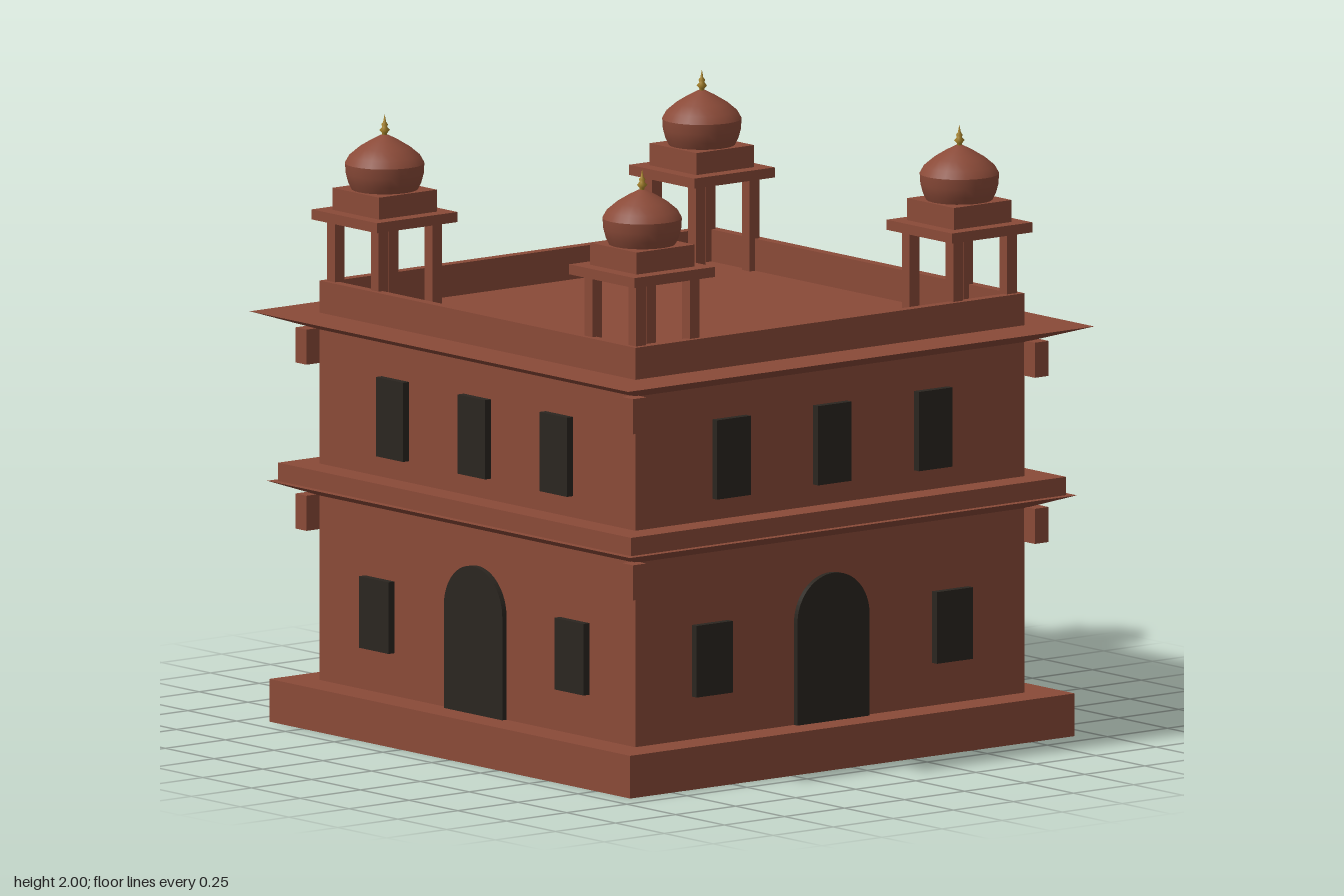
import * as THREE from 'three';

const stone = new THREE.MeshStandardMaterial({ color: 0x8a4a38, side: THREE.DoubleSide });
const stoneFlat = new THREE.MeshStandardMaterial({ color: 0x8a4a38, flatShading: true });
const dark = new THREE.MeshStandardMaterial({ color: 0x2b2620 });
const gold = new THREE.MeshStandardMaterial({ color: 0xa8842c });

function add(parent, name, geometry, material, x = 0, y = 0, z = 0) {
  const mesh = new THREE.Mesh(geometry, material);
  mesh.name = name;
  mesh.position.set(x, y, z);
  parent.add(mesh);
  return mesh;
}

// Box given by its width, depth and bottom/top heights
function block(parent, name, w, d, y0, y1, x = 0, z = 0, material = stone) {
  return add(parent, name, new THREE.BoxGeometry(w, y1 - y0, d), material, x, (y0 + y1) / 2, z);
}

// Square eave that flares out towards its flat top
function eave(parent, name, bottomHalf, topHalf, y0, y1) {
  const g = new THREE.CylinderGeometry(topHalf * Math.SQRT2, bottomHalf * Math.SQRT2, y1 - y0, 4);
  g.rotateY(Math.PI / 4);
  return add(parent, name, g, stoneFlat, 0, (y0 + y1) / 2, 0);
}

function lathe(points) {
  return new THREE.LatheGeometry(points.map(([r, y]) => new THREE.Vector2(r, y)), 24);
}

// Door, windows and parapet of one side
function createSide() {
  const side = new THREE.Group();
  side.name = 'facade';

  const arch = new THREE.Shape();
  arch.moveTo(-0.15, 0.14);
  arch.lineTo(0.15, 0.14);
  arch.lineTo(0.15, 0.475);
  arch.absarc(0, 0.475, 0.15, 0, Math.PI, false);
  arch.closePath();
  const door = new THREE.ExtrudeGeometry(arch, { depth: 0.03, bevelEnabled: false, curveSegments: 16 });
  add(side, 'archedDoor', door, dark, 0, 0, 0.798);

  for (const x of [-0.5, 0.5]) block(side, 'lowerWindow', 0.15, 0.04, 0.28, 0.515, x, 0.815, dark);
  for (const x of [-0.42, 0, 0.42]) block(side, 'upperWindow', 0.14, 0.04, 0.92, 1.18, x, 0.815, dark);

  block(side, 'parapet', 1.585, 0.035, 1.345, 1.45, -0.0175, 0.7925);
  return side;
}

// Domed pavilion on four posts
function createPavilion() {
  const p = new THREE.Group();
  p.name = 'roofPavilion';
  for (const x of [-0.112, 0.112])
    for (const z of [-0.112, 0.112]) block(p, 'post', 0.04, 0.04, 1.345, 1.655, x, z);
  block(p, 'pavilionSlab', 0.335, 0.335, 1.65, 1.683);
  block(p, 'domeBase', 0.24, 0.24, 1.683, 1.755);
  add(p, 'domeBowl', lathe([[0.105, 1.75], [0.119, 1.778], [0.127, 1.808], [0.129, 1.84]]), stone);
  add(p, 'domeCap', lathe([[0.129, 1.84], [0.115, 1.865], [0.083, 1.892], [0.045, 1.915], [0.012, 1.932], [0, 1.934]]), stone);
  add(p, 'finial', lathe([[0.008, 1.925], [0.008, 1.938], [0.017, 1.948], [0.008, 1.958],
    [0.011, 1.966], [0.005, 1.974], [0, 2]]), gold);
  return p;
}

export function createModel() {
  const model = new THREE.Group();
  model.name = 'pavilionBuilding';

  // Plinth, hollow underneath: the downward face is left out
  const plinth = block(model, 'plinth', 1.85, 1.85, 0, 0.14);
  const index = Array.from(plinth.geometry.index.array);
  index.splice(18, 6);
  plinth.geometry.setIndex(index);

  // Storeys and eaves
  block(model, 'lowerStorey', 1.62, 1.62, 0.14, 0.745);
  eave(model, 'lowerEave', 0.81, 0.93, 0.745, 0.79);
  block(model, 'floorBand', 1.81, 1.81, 0.79, 0.85);
  block(model, 'upperStorey', 1.62, 1.62, 0.85, 1.29);
  eave(model, 'roofEave', 0.81, 0.97, 1.29, 1.345);

  // Four equal sides
  for (let i = 0; i < 4; i++) {
    const side = createSide();
    side.rotation.y = (i * Math.PI) / 2;
    model.add(side);
  }

  // Corner brackets and pavilions
  for (const sx of [-1, 1]) {
    for (const sz of [-1, 1]) {
      for (const top of [0.75, 1.295])
        block(model, 'cornerBracket', 0.057, 0.057, top - 0.115, top, sx * 0.8365, sz * 0.8365);
      const pavilion = createPavilion();
      pavilion.position.set(sx * 0.66, 0, sz * 0.66);
      model.add(pavilion);
    }
  }
  return model;
}
